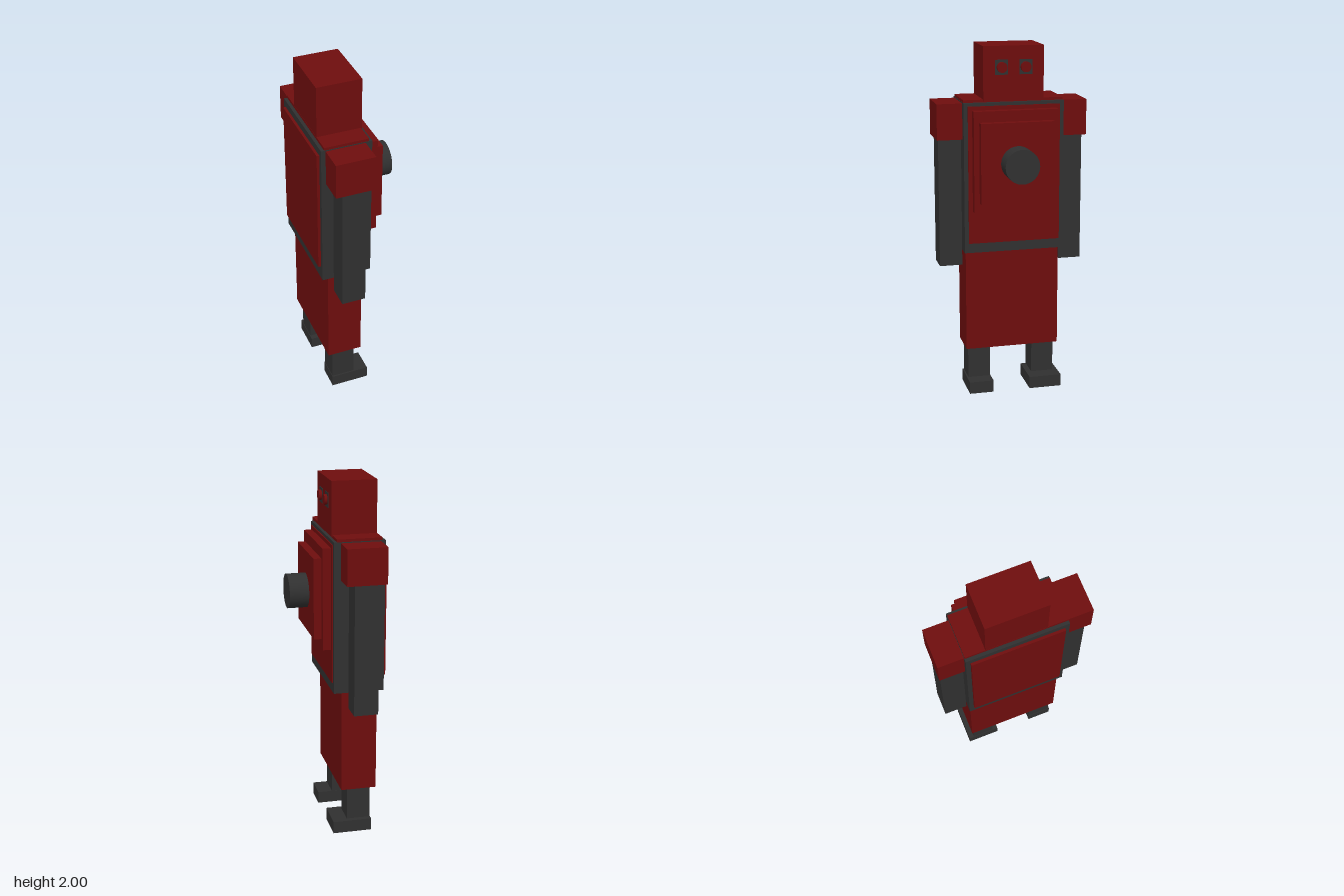
import * as THREE from 'three';

export function createModel() {
  const robot = new THREE.Group();
  robot.name = 'robot';
  const red = new THREE.MeshStandardMaterial({ color: 0x6e0d0d });
  red.name = 'dark red';
  const grey = new THREE.MeshStandardMaterial({ color: 0x303030 });
  grey.name = 'charcoal';

  // Box given by its limits on each axis
  function box(name, mat, [x0, x1], [y0, y1], [z0, z1]) {
    const mesh = new THREE.Mesh(new THREE.BoxGeometry(x1 - x0, y1 - y0, z1 - z0), mat);
    mesh.position.set((x0 + x1) / 2, (y0 + y1) / 2, (z0 + z1) / 2);
    mesh.name = name;
    robot.add(mesh);
  }

  // Cylinder lying along x
  function rod(name, mat, x0, x1, y, z, r) {
    const geo = new THREE.CylinderGeometry(r, r, x1 - x0, 32).rotateZ(-Math.PI / 2);
    const mesh = new THREE.Mesh(geo, mat);
    mesh.position.set((x0 + x1) / 2, y, z);
    mesh.name = name;
    robot.add(mesh);
  }

  // Torso with stepped chest plates and round chest lens
  box('torso', grey, [-0.235, 0.047], [0.85, 1.695], [-0.283, 0.283]);
  box('torsoCap', red, [-0.217, 0.03], [1.68, 1.71], [-0.281, 0.281]);
  box('backPlate', red, [-0.25, -0.23], [0.93, 1.655], [-0.258, 0.258]);
  box('frontPlate', red, [0.04, 0.053], [0.905, 1.677], [-0.26, 0.26]);
  box('chestPlate', red, [0.05, 0.098], [1.09, 1.655], [-0.237, 0.237]);
  box('chestPanel', red, [0.09, 0.141], [1.145, 1.595], [-0.207, 0.207]);
  rod('chestLens', grey, 0.13, 0.249, 1.37, 0, 0.096);

  // Head and hips
  box('head', red, [-0.216, 0.035], [1.7, 2], [-0.17, 0.17]);
  box('hips', red, [-0.2, 0], [0.26, 0.86], [-0.27, 0.27]);

  for (const s of [1, -1]) {
    const span = (a, b) => (s > 0 ? [a, b] : [-b, -a]);
    // Eyes
    box('eyeSocket', grey, [0.032, 0.038], [1.843, 1.925], span(0.033, 0.104));
    rod('eye', red, 0.03, 0.054, 1.884, s * 0.067, 0.029);
    // Arms
    box('shoulder', red, [-0.21, 0.01], [1.49, 1.69], span(0.28, 0.425));
    box('arm', grey, [-0.17, -0.035], [0.76, 1.5], span(0.283, 0.412));
    // Legs
    box('leg', grey, [-0.17, -0.037], [0.04, 0.27], span(0.125, 0.254));
  }

  // Feet differ in width
  box('leftFoot', grey, [-0.173, 0.047], [0, 0.07], [0.122, 0.262]);
  box('rightFoot', grey, [-0.173, 0.047], [0, 0.07], [-0.282, -0.094]);

  return robot;
}
